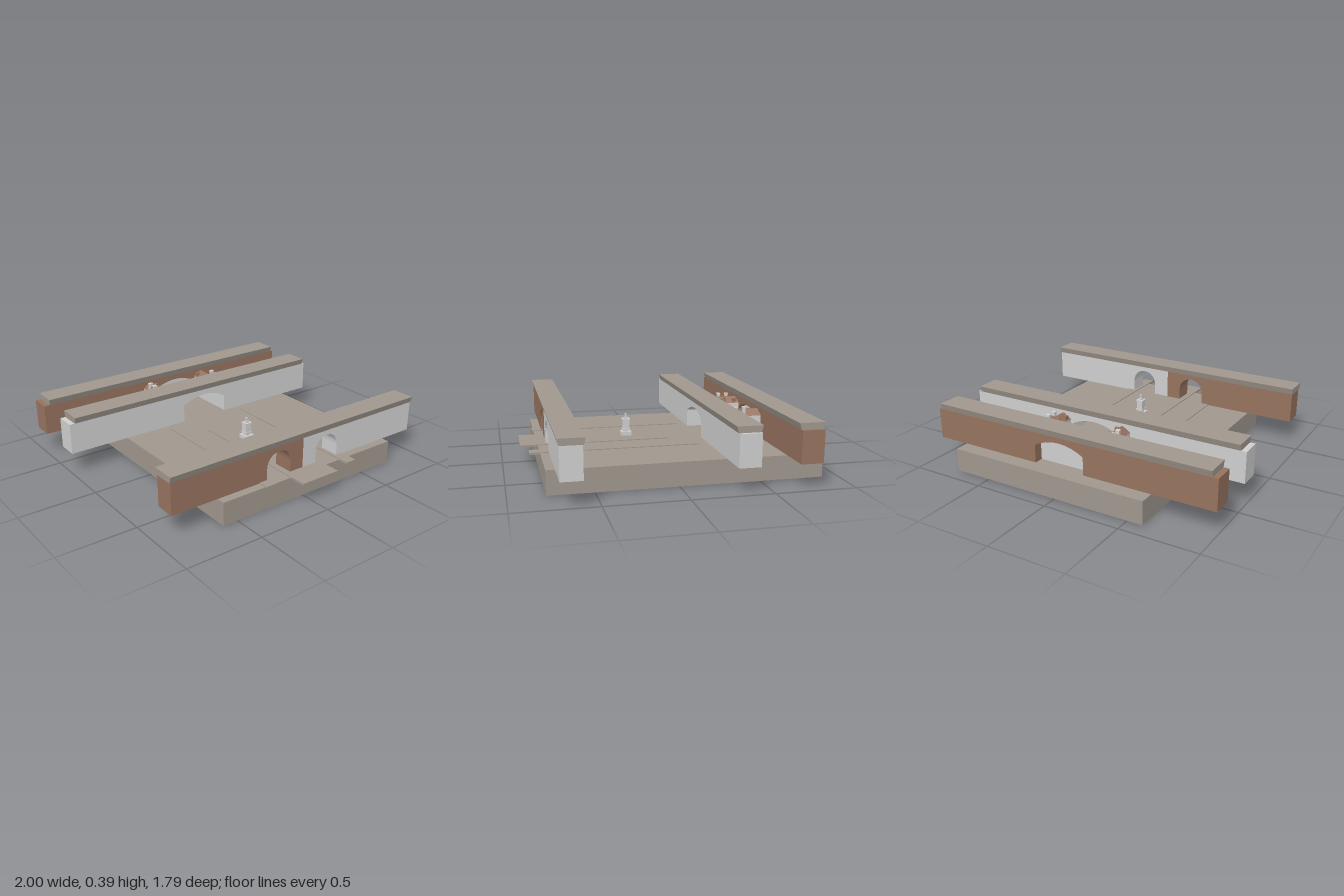
import * as THREE from 'three';

const material = (name, color) => {
  const m = new THREE.MeshStandardMaterial({ color, flatShading: true });
  m.name = name;
  return m;
};

export function createModel() {
  const stone = material('stone', 0xa0978e);
  const brick = material('brick', 0x96735f);
  const plaster = material('plaster', 0xcfcfcf);
  const root = new THREE.Group();
  root.name = 'walledCourtyard';

  const FLOOR = 0.15, WALL_TOP = 0.35, CAP_TOP = 0.39;

  function add(parent, name, geometry, mat) {
    const mesh = new THREE.Mesh(geometry, mat);
    mesh.name = name;
    parent.add(mesh);
    return mesh;
  }

  // Box given by its limits on each axis
  function box(parent, name, mat, x0, x1, y0, y1, z0, z1) {
    const g = new THREE.BoxGeometry(x1 - x0, y1 - y0, z1 - z0);
    g.translate((x0 + x1) / 2, (y0 + y1) / 2, (z0 + z1) / 2);
    return add(parent, name, g, mat);
  }

  // Points of an arch, left foot to right foot
  function archPoints({ x, half, spring, rise }) {
    const r = (half * half + rise * rise) / (2 * rise);
    const a = Math.asin(Math.min(1, half / r));
    const points = [[x - half, FLOOR]];
    const n = 12;
    for (let i = 0; i <= n; i++) {
      const t = -a + (2 * a * i) / n;
      points.push([x + r * Math.sin(t), spring + rise - r + r * Math.cos(t)]);
    }
    points.push([x + half, FLOOR]);
    return points.map(([px, py]) => new THREE.Vector2(px, py));
  }

  function extrude(shape, z0, z1) {
    const g = new THREE.ExtrudeGeometry(shape, { depth: z1 - z0, bevelEnabled: false });
    g.translate(0, 0, z0);
    return g;
  }

  // Wall section with an arched doorway
  function wall(name, mat, x0, x1, z0, z1, arch) {
    const shape = new THREE.Shape([
      new THREE.Vector2(x0, FLOOR), ...archPoints(arch), new THREE.Vector2(x1, FLOOR),
      new THREE.Vector2(x1, WALL_TOP), new THREE.Vector2(x0, WALL_TOP),
    ]);
    add(root, name, extrude(shape, z0, z1), mat);
  }

  // Coping that flares outwards towards its top
  function coping(name, x0, x1, z0, z1) {
    const f = 0.012;
    const shape = new THREE.Shape([
      new THREE.Vector2(-z1, WALL_TOP), new THREE.Vector2(-z0, WALL_TOP),
      new THREE.Vector2(-z0 + f, CAP_TOP), new THREE.Vector2(-z1 - f, CAP_TOP),
    ]);
    const g = extrude(shape, 0, x1 - x0);
    g.rotateY(Math.PI / 2);
    g.translate(x0, 0, 0);
    add(root, name, g, stone);
  }

  // Ground slab and paths
  box(root, 'groundSlab', stone, -0.6, 0.75, 0, FLOOR, -0.9, 0.78);
  box(root, 'centrePath', stone, -0.1, 0.18, 0.142, 0.155, -0.07, 0.89);
  box(root, 'rightPath', stone, -0.295, -0.215, 0.142, 0.155, -0.235, 0.79);
  box(root, 'leftPath', stone, 0.3, 0.375, 0.142, 0.155, -0.235, 0.845);

  // Front wall, half brick and half plaster
  const door = { half: 0.09, spring: 0.23, rise: 0.09 };
  wall('frontBrickWall', brick, -0.91, 0.04, 0.595, 0.725, { x: -0.15, ...door });
  wall('frontPlasterWall', plaster, 0.04, 0.995, 0.595, 0.725, { x: 0.235, ...door });
  coping('frontCoping', -0.915, 1, 0.592, 0.725);

  // Middle and back walls with wide gateways
  const gate = { x: 0.0275, half: 0.1725, spring: 0.265, rise: 0.05 };
  wall('middleWall', plaster, -1, 0.96, -0.425, -0.29, gate);
  coping('middleCoping', -0.965, 0.94, -0.425, -0.29);
  wall('backWall', brick, -1, 0.96, -0.805, -0.667, gate);
  coping('backCoping', -0.965, 0.94, -0.803, -0.667);

  // Closed panel in the back gateway
  add(root, 'gatePanel', extrude(new THREE.Shape(archPoints(gate)), -0.745, -0.7), plaster);

  // Hipped roof from an eaves rectangle and a ridge
  function hipRoof(halfX, halfZ, ridgeHalf, height) {
    const g = new THREE.BoxGeometry(halfX * 2, height, halfZ * 2);
    const p = g.attributes.position;
    for (let i = 0; i < p.count; i++) {
      if (p.getY(i) > 0) {
        p.setX(i, p.getX(i) * 0.12);
        p.setZ(i, Math.sign(p.getZ(i)) * ridgeHalf);
      }
    }
    g.translate(0, height / 2, 0);
    g.computeVertexNormals();
    return g;
  }

  // Side house linking the two rear walls; local +x faces the passage
  function sideHouse(name) {
    const h = new THREE.Group();
    h.name = name;
    box(h, 'houseWalls', plaster, -0.0475, 0.0475, FLOOR, 0.3, -0.122, 0.122);
    const roof = add(h, 'houseRoof', hipRoof(0.0485, 0.122, 0.108, 0.04), brick);
    roof.position.y = 0.3;
    for (const z of [-0.09, 0.005, 0.095]) {
      box(h, 'dormer', brick, 0.005, 0.042, 0.3, 0.33, z - 0.013, z + 0.013);
    }
    for (const z of [-0.05, 0.007]) {
      box(h, 'chimney', plaster, -0.043, -0.02, 0.305, 0.352, z - 0.009, z + 0.009);
      box(h, 'chimneyTop', plaster, -0.046, -0.017, 0.352, 0.36, z - 0.012, z + 0.012);
    }
    // Small cross gable between the chimneys
    const gable = add(h, 'crossGable', hipRoof(0.012, 0.042, 0.038, 0.036), brick);
    gable.rotation.y = Math.PI / 2;
    gable.position.set(-0.004, 0.306, -0.022);
    root.add(h);
    return h;
  }
  const rightHouse = sideHouse('rightHouse');
  rightHouse.position.set(-0.1925, 0, -0.547);
  const leftHouse = sideHouse('leftHouse');
  leftHouse.position.set(0.2475, 0, -0.547);
  leftHouse.rotation.y = Math.PI;

  // Courtyard monument: stacked square blocks
  const monument = new THREE.Group();
  monument.name = 'monument';
  for (const [name, half, y0, y1] of [
    ['plinth', 0.034, 0.155, 0.18], ['step', 0.018, 0.18, 0.193],
    ['foot', 0.025, 0.193, 0.203], ['shaft', 0.021, 0.203, 0.256],
    ['cornice', 0.025, 0.256, 0.266], ['neck', 0.011, 0.266, 0.275],
    ['finial', 0.006, 0.275, 0.3],
  ]) {
    box(monument, name, plaster, -half, half, y0, y1, -half, half);
  }
  monument.position.set(0.032, 0, 0.185);
  root.add(monument);

  return root;
}
